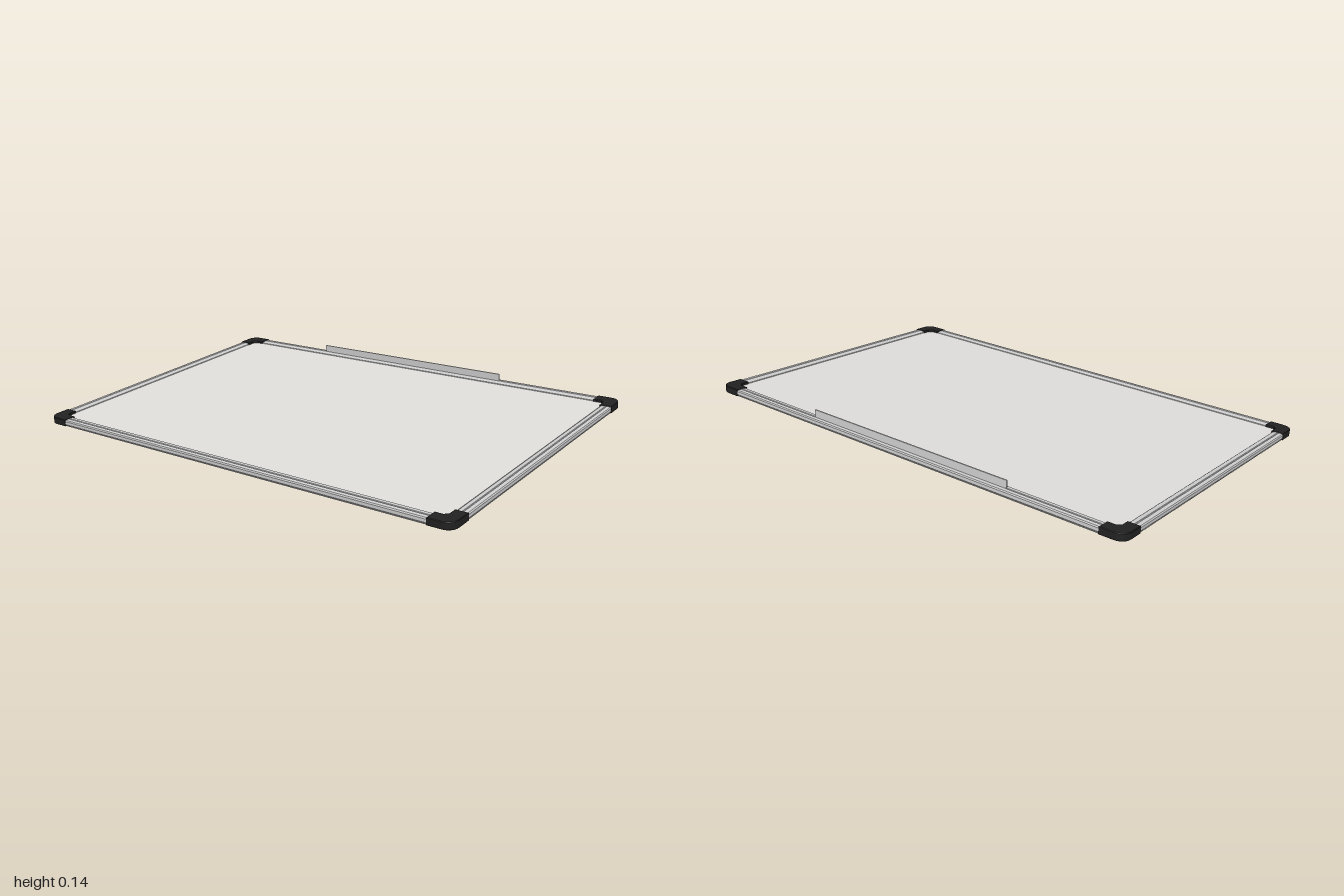
import * as THREE from 'three';

const HALF_L = 0.847, HALF_W = 0.563;   // half length and half width of the board
const RAIL = 0.04, THICK = 0.023;       // rail width and height

const paint = (name, hex) => {
  const m = new THREE.MeshStandardMaterial({ color: hex });
  m.name = name;
  return m;
};

function add(parent, name, geometry, material) {
  const mesh = new THREE.Mesh(geometry, material);
  mesh.name = name;
  parent.add(mesh);
  return mesh;
}

function box(parent, name, material, size, pos) {
  const mesh = add(parent, name, new THREE.BoxGeometry(...size), material);
  mesh.position.set(...pos);
  return mesh;
}

// Grooved aluminium profile: x points outward, y up, extruded along its length
function railGeometry(outer, length) {
  const i = outer - RAIL;
  const shape = new THREE.Shape([
    [i, 0.003], [outer - 0.003, 0.003], [outer, 0.007], [outer, 0.018], [outer - 0.003, 0.022],
    [outer - 0.016, THICK], [outer - 0.017, 0.021], [outer - 0.02, 0.021],
    [outer - 0.021, THICK], [outer - 0.035, 0.022], [i, 0.019],
  ].map(([x, y]) => new THREE.Vector2(x, y)));
  const g = new THREE.ExtrudeGeometry(shape, { depth: length, bevelEnabled: false });
  return g.translate(0, 0, -length / 2);
}

// L-shaped cap with a rounded outer corner
function capGeometry(sx, sy) {
  const X = HALF_L + 0.001, Y = HALF_W + 0.001, arm = 0.085, w = 0.044, r = 0.035;
  const pts = [[X - arm, Y], [X - arm, Y - w], [X - w - 0.012, Y - w], [X - w, Y - w - 0.012],
    [X - w, Y - arm], [X, Y - arm]];
  for (let k = 0; k <= 6; k++) {
    const t = (k / 6) * Math.PI / 2;
    pts.push([X - r + r * Math.cos(t), Y - r + r * Math.sin(t)]);
  }
  const shape = new THREE.Shape(pts.map(([x, y]) => new THREE.Vector2(x * sx, y * sy)));
  const g = new THREE.ExtrudeGeometry(shape, {
    depth: THICK - 0.001, bevelEnabled: true, bevelThickness: 0.0015, bevelSize: 0.0015,
    bevelOffset: -0.0015, bevelSegments: 1,
  });
  return g.rotateX(-Math.PI / 2).translate(0, 0.001, 0);
}

export function createModel() {
  const surface = paint('writing surface grey', 0xe0dedb);
  const metal = paint('aluminium', 0xcccdcc);
  const black = paint('black plastic', 0x212121);

  const board = new THREE.Group();
  board.name = 'whiteboard';

  // Panel and backing sheet
  box(board, 'writingSurface', surface, [2 * (HALF_L - 0.03), 0.013, 2 * (HALF_W - 0.03)], [0, 0.0095, 0]);
  box(board, 'backSheet', metal, [2 * HALF_L - 0.05, 0.003, 2 * HALF_W - 0.006], [0, 0.0015, 0]);
  for (const s of [-1, 1]) {
    box(board, 'backSheetEnd', metal, [0.022, 0.003, 2 * HALF_W - 0.1], [s * (HALF_L - 0.014), 0.0015, 0]);
  }

  // Four rails, one for each side
  for (let k = 0; k < 4; k++) {
    const [outer, along] = k % 2 ? [HALF_W, HALF_L] : [HALF_L, HALF_W];
    const rail = add(board, 'frameRail', railGeometry(outer, 2 * (along - 0.06)), metal);
    rail.rotation.y = k * Math.PI / 2;
  }

  // Corner caps
  for (const sx of [-1, 1]) for (const sy of [-1, 1]) add(board, 'cornerCap', capGeometry(sx, sy), black);

  // Narrow pen tray standing out from one long rail
  box(board, 'penTray', metal, [0.81, 0.032, 0.005], [-0.024, 0.033, -0.544]);

  // Turn and tilt the board to its resting slope
  const angle = THREE.MathUtils.degToRad(54.8), px = 0.0645, pz = -0.0225;
  const c = Math.cos(angle), s = Math.sin(angle);
  const up = new THREE.Vector3(-px, 1, -pz).normalize();
  const long = new THREE.Vector3(c, px * c + pz * s, s).normalize();
  const side = new THREE.Vector3().crossVectors(long, up);
  board.quaternion.setFromRotationMatrix(new THREE.Matrix4().makeBasis(long, up, side));

  const model = new THREE.Group();
  model.name = 'model';
  model.add(board);
  // Rest the lowest corner on the ground
  model.updateMatrixWorld(true);
  board.position.y = -new THREE.Box3().setFromObject(model, true).min.y;
  return model;
}
